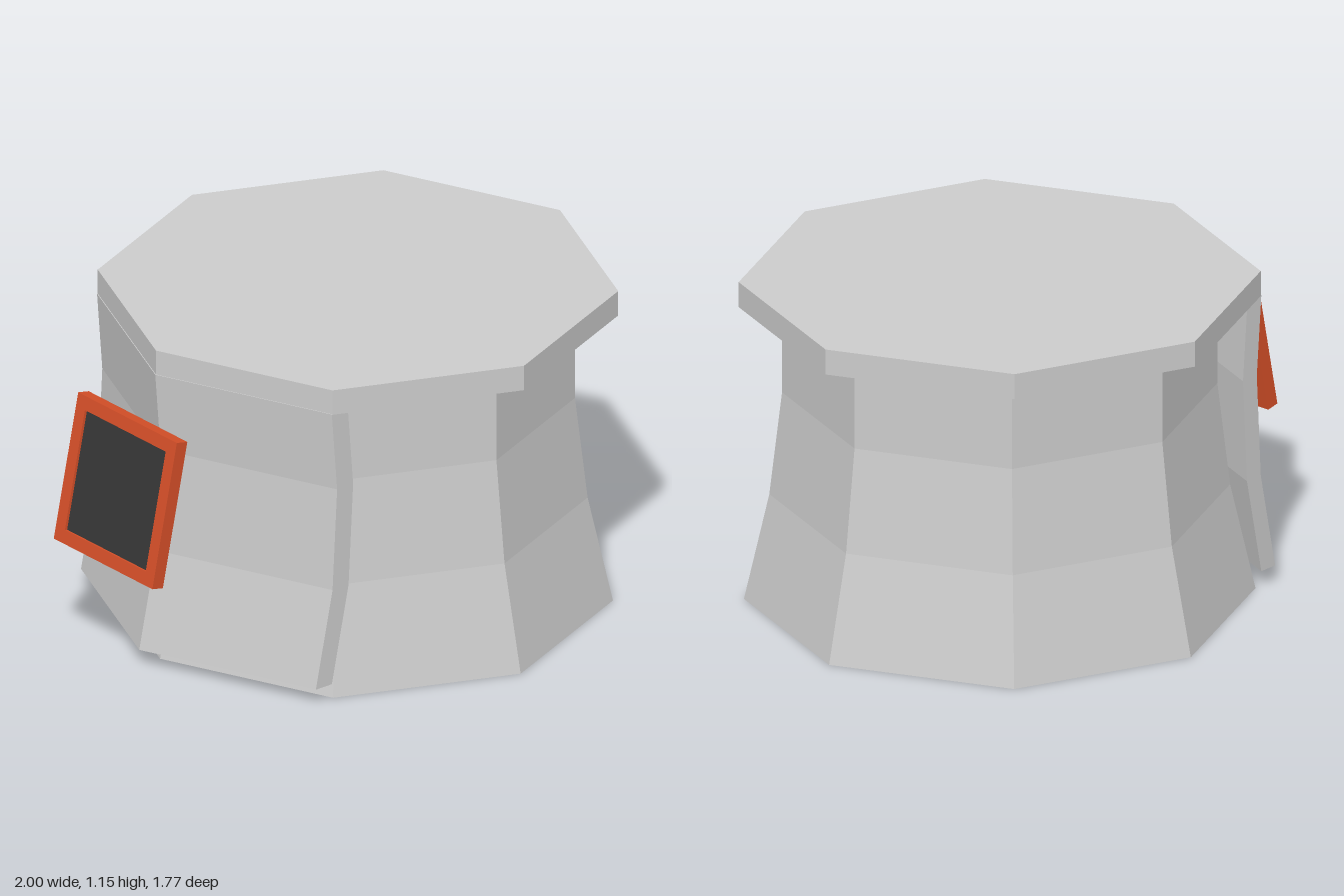
import * as THREE from 'three';

const CX = 0.117; // axis of the octagonal body

const material = (color) => new THREE.MeshStandardMaterial({ color, flatShading: true });

function add(parent, name, geometry, mat) {
  const mesh = new THREE.Mesh(geometry, mat);
  mesh.name = name;
  parent.add(mesh);
  return mesh;
}

// Closed eight-sided solid from [radius, height] pairs, bottom to top
function octagon(profile) {
  const points = profile.map(([r, y]) => new THREE.Vector2(r, y));
  return new THREE.LatheGeometry(points, 8);
}

// Flared shield: a side profile extruded along z, then folded back at the middle
function shieldGeometry() {
  const thickness = 0.07, halfWidth = 0.625, fold = 0.259;
  const outer = [[-0.84, 0.06], [-0.767, 0.41], [-0.747, 0.78], [-0.77, 1.066]];
  const inner = outer.map(([x, y]) => [x + thickness, y]).reverse();
  const shape = new THREE.Shape([...outer, ...inner].map(([x, y]) => new THREE.Vector2(x, y)));
  const geo = new THREE.ExtrudeGeometry(shape, { depth: halfWidth * 2, steps: 2, bevelEnabled: false });
  geo.translate(0, 0, -halfWidth);
  const p = geo.attributes.position;
  for (let i = 0; i < p.count; i++) {
    p.setX(i, p.getX(i) + fold * Math.abs(p.getZ(i)) / halfWidth);
  }
  geo.computeVertexNormals();
  return geo;
}

export function createModel() {
  const model = new THREE.Group();
  model.name = 'pedestalWithDisplay';
  const grey = material(0xcccccc);
  const orange = material(0xd54f28);
  const dark = material(0x363636);
  const brown = material(0x5f4a30);

  // Flared body and flat top
  add(model, 'body', octagon([[0, 0], [0.866, 0], [0.78, 0.38], [0.737, 0.75], [0.737, 1.066], [0, 1.066]]), grey)
    .position.x = CX;
  add(model, 'topSlab', octagon([[0, 1.064], [0.884, 1.064], [0.884, 1.155], [0, 1.155]]), grey)
    .position.x = CX;

  // Two-faced shield on the right side
  add(model, 'sideShield', shieldGeometry(), grey);

  // Arm carrying the display
  add(model, 'displayArm', new THREE.BoxGeometry(0.19, 0.032, 0.036), brown)
    .position.set(-0.825, 0.675, 0);

  // Tilted display: frame with an opening, and a slightly recessed screen
  const display = new THREE.Group();
  display.name = 'display';
  display.position.set(-0.922, 0.68, 0);
  display.rotation.z = -0.205;
  model.add(display);

  const size = 0.525, opening = 0.43, depth = 0.047, recess = 0.01;
  const square = (s, Type) => new Type([[-1, -1], [1, -1], [1, 1], [-1, 1]]
    .map(([x, y]) => new THREE.Vector2(x * s / 2, y * s / 2)));
  const frameShape = square(size, THREE.Shape);
  frameShape.holes.push(square(opening, THREE.Path));
  const frameGeo = new THREE.ExtrudeGeometry(frameShape, { depth, bevelEnabled: false });
  frameGeo.translate(0, 0, -depth / 2).rotateY(-Math.PI / 2);
  add(display, 'displayFrame', frameGeo, orange);

  add(display, 'displayBack', new THREE.BoxGeometry(0.02, opening, opening), orange)
    .position.x = depth / 2 - 0.01;
  add(display, 'displayScreen', new THREE.BoxGeometry(0.017, opening, opening), dark)
    .position.x = -depth / 2 + recess + 0.0085;

  return model;
}
